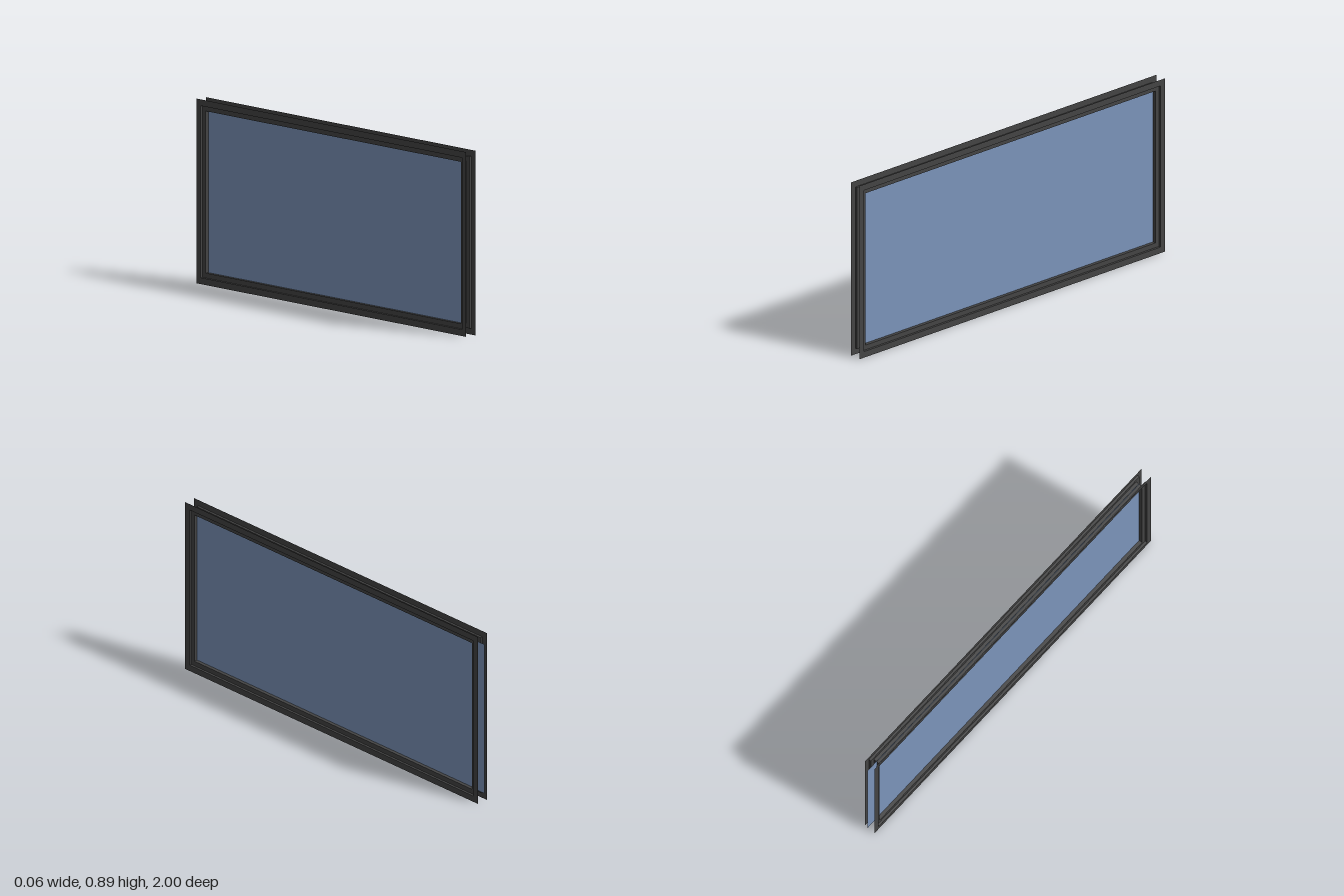
import * as THREE from 'three';

const frameMaterial = new THREE.MeshStandardMaterial({ color: 0x444444, flatShading: true, side: THREE.DoubleSide });
const glassMaterial = new THREE.MeshStandardMaterial({ color: 0x7b94ba, side: THREE.DoubleSide });

// Outer rectangle of the window frame
const FRAME = { front: 1, back: -0.985, bottom: 0, top: 0.893 };

// Moulding profile from the outer edge to the pane: [inset, x]
const PROFILE = [[0, 0.03], [0.031, 0.03], [0.031, 0.018], [0.055, 0.018], [0.055, 0]];

// Rectangle at one profile point, counter-clockwise seen from +x
function loop([inset, x], side) {
  const front = FRAME.front - inset * 0.93, back = FRAME.back + inset * 0.93;
  const bottom = FRAME.bottom + inset, top = FRAME.top - inset;
  return [[front, bottom], [back, bottom], [back, top], [front, top]].map(([z, y]) => [x * side, y, z]);
}

// Stepped moulding on one face of the window, mitred at the corners
function moulding(side) {
  const loops = PROFILE.map((p) => loop(p, side));
  const positions = [];
  for (let i = 0; i < loops.length - 1; i++) {
    for (let k = 0; k < 4; k++) {
      const n = (k + 1) % 4;
      const a = loops[i][k], b = loops[i][n], c = loops[i + 1][n], d = loops[i + 1][k];
      const corners = side > 0 ? [a, b, c, a, c, d] : [a, c, b, a, d, c];
      positions.push(...corners.flat());
    }
  }
  const geometry = new THREE.BufferGeometry();
  geometry.setAttribute('position', new THREE.Float32BufferAttribute(positions, 3));
  geometry.computeVertexNormals();
  return new THREE.Mesh(geometry, frameMaterial);
}

export function createModel() {
  const model = new THREE.Group();
  model.name = 'window';

  for (const [name, side] of [['leftFrame', 1], ['rightFrame', -1]]) {
    const frame = moulding(side);
    frame.name = name;
    model.add(frame);
  }

  // Thin pane, running slightly past the frame at the back end
  const front = 0.95, back = -1, bottom = 0.05, top = 0.848;
  const pane = new THREE.Mesh(new THREE.PlaneGeometry(front - back, top - bottom), glassMaterial);
  pane.rotation.y = Math.PI / 2;
  pane.position.set(0, (bottom + top) / 2, (front + back) / 2);
  pane.name = 'glassPane';
  model.add(pane);

  return model;
}
